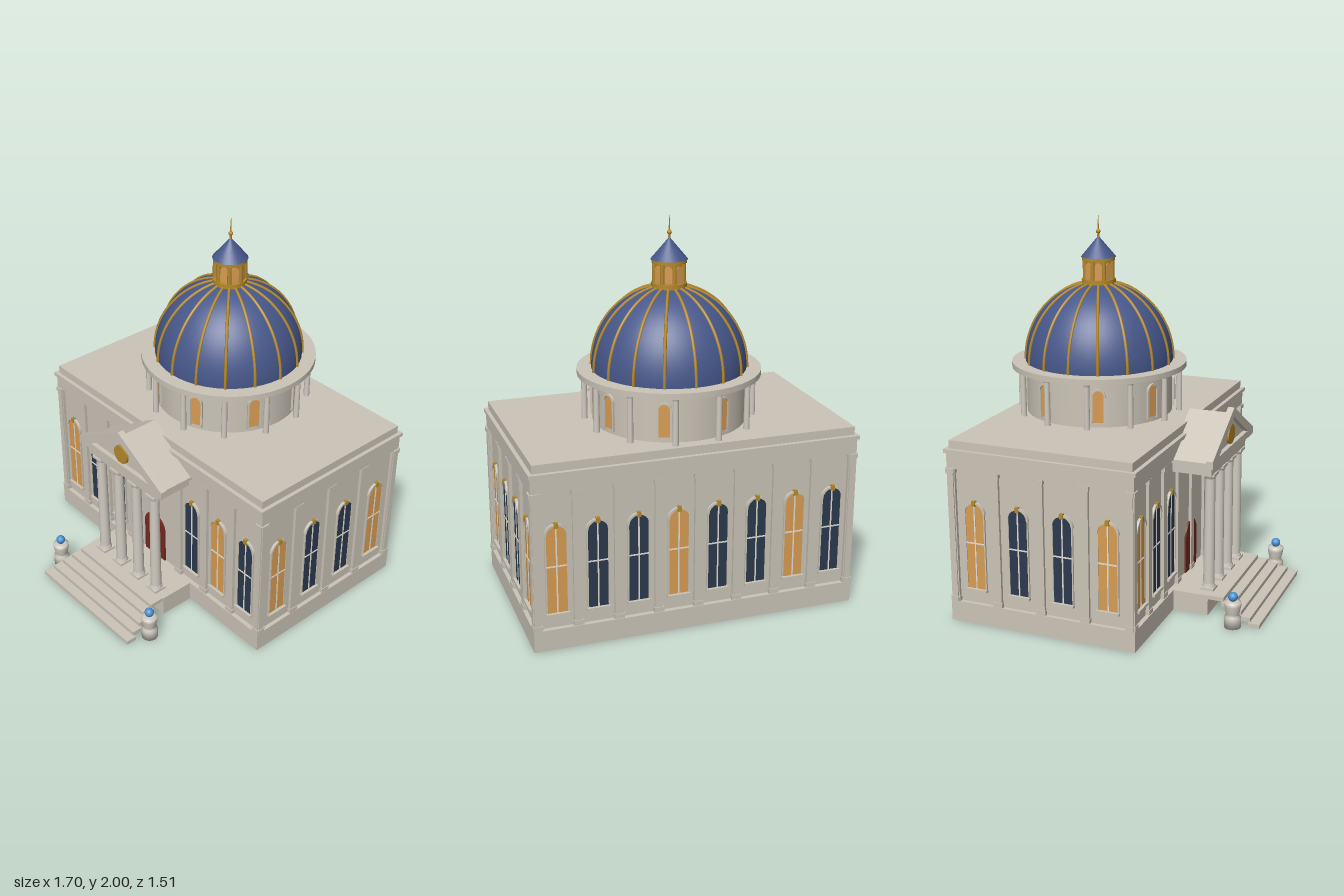
import * as THREE from 'three';

const mat = (name, color) => {
  const m = new THREE.MeshStandardMaterial({ color });
  m.name = name;
  return m;
};

export function createModel() {
  const stone = mat('stone', 0xcbc4b7);
  const column = mat('column stone', 0xd0cbc0);
  const blue = mat('dome blue', 0x46578a);
  const gold = mat('gold', 0xb58a2c);
  const lit = mat('lit window', 0xd89c52);
  const dark = mat('dark window', 0x2b3a4e);
  const red = mat('door red', 0x742a20);
  const lamp = mat('lamp blue', 0x4a90cf);
  const white = mat('glazing bar', 0xe4e0d6);

  const root = new THREE.Group();
  root.name = 'domedHall';
  const CZ = -0.237; // centre of the main block
  const DZ = -0.277; // centre of the dome

  const add = (parent, name, geo, material, x = 0, y = 0, z = 0) => {
    const m = new THREE.Mesh(geo, material);
    m.name = name;
    m.position.set(x, y, z);
    parent.add(m);
    return m;
  };
  const group = (parent, name, x = 0, y = 0, z = 0, ry = 0) => {
    const g = new THREE.Group();
    g.name = name;
    g.position.set(x, y, z);
    g.rotation.y = ry;
    parent.add(g);
    return g;
  };
  // Box given by its bottom and top heights
  const box = (parent, name, material, w, y0, y1, d, x = 0, z = 0) =>
    add(parent, name, new THREE.BoxGeometry(w, y1 - y0, d), material, x, (y0 + y1) / 2, z);
  const cyl = (parent, name, material, r0, r1, y0, y1, x = 0, z = 0, n = 16) =>
    add(parent, name, new THREE.CylinderGeometry(r1, r0, y1 - y0, n), material, x, (y0 + y1) / 2, z);
  const extrude = (shape, depth) =>
    new THREE.ExtrudeGeometry(shape, { depth, bevelEnabled: false, curveSegments: 10 });
  const polygon = pts => new THREE.Shape(pts.map(p => new THREE.Vector2(...p)));
  const lathe = (pts, n) => new THREE.LatheGeometry(pts.map(p => new THREE.Vector2(...p)), n);
  // Round-headed plate: half width r, from y0 up to the spring of the arch
  const arch = (r, y0, spring, depth) => {
    const s = new THREE.Shape();
    s.moveTo(-r, y0);
    s.lineTo(r, y0);
    s.lineTo(r, spring);
    s.absarc(0, spring, r, 0, Math.PI, false);
    s.closePath();
    return extrude(s, depth);
  };
  const archBand = (r0, r1, spring, depth) => {
    const s = new THREE.Shape();
    s.absarc(0, spring, r1, 0, Math.PI, false);
    s.absarc(0, spring, r0, Math.PI, 0, true);
    s.closePath();
    return extrude(s, depth);
  };

  // Main block
  box(root, 'plinth', stone, 1.69, 0, 0.11, 1.014, 0, CZ);
  box(root, 'walls', stone, 1.648, 0.11, 0.825, 0.966, 0, CZ);
  box(root, 'frieze', stone, 1.684, 0.822, 0.9, 1.006, 0, CZ);
  box(root, 'cornice', stone, 1.7, 0.9, 0.92, 1.03, 0, CZ);
  box(root, 'parapet', stone, 1.66, 0.92, 0.963, 0.986, 0, CZ);

  // Facades: arched windows between pilasters
  const glassGeo = arch(0.05, 0.19, 0.595, 0.006);
  const hoodGeo = archBand(0.05, 0.061, 0.595, 0.014);
  const facade = (name, bays, pitch, x, z, ry, skip) => {
    const f = group(root, name, x, 0, z, ry);
    for (let i = 0; i <= bays; i++) {
      const px = (i - bays / 2) * pitch;
      box(f, 'pilasterShaft', stone, 0.044, 0.11, 0.822, 0.032, px, 0);
      box(f, 'pilasterBase', stone, 0.052, 0.11, 0.135, 0.04, px, 0);
      box(f, 'pilasterCapital', stone, 0.054, 0.798, 0.822, 0.042, px, 0);
    }
    for (let i = 0; i < bays; i++) {
      if (skip.includes(i)) continue;
      const w = group(f, 'window', (i + 0.5 - bays / 2) * pitch);
      add(w, 'glass', glassGeo, i % 3 === 0 ? lit : dark);
      add(w, 'hood', hoodGeo, stone);
      for (const s of [-1, 1]) box(w, 'jamb', stone, 0.007, 0.19, 0.595, 0.02, s * 0.0535, 0);
      box(w, 'sill', stone, 0.12, 0.177, 0.19, 0.044);
      box(w, 'uprightBar', white, 0.007, 0.19, 0.64, 0.006, 0, 0.006);
      box(w, 'crossBar', white, 0.1, 0.431, 0.438, 0.006, 0, 0.006);
      box(w, 'keystone', gold, 0.02, 0.635, 0.662, 0.036);
    }
  };
  const HX = 0.824, HZ = 0.483;
  facade('frontFacade', 8, 0.206, 0, CZ + HZ, 0, [3, 4]);
  facade('backFacade', 8, 0.206, 0, CZ - HZ, Math.PI, []);
  facade('leftFacade', 4, 0.2415, HX, CZ, Math.PI / 2, []);
  facade('rightFacade', 4, 0.2415, -HX, CZ, -Math.PI / 2, []);
  add(root, 'door', arch(0.083, 0.11, 0.307, 0.009), red, 0, 0, CZ + HZ);

  // Portico
  const porch = group(root, 'portico');
  box(porch, 'porchFloor', stone, 0.63, 0, 0.11, 0.22, 0, 0.35);
  for (let i = 0; i < 5; i++) {
    const zFront = 0.755 - i * 0.053;
    box(porch, 'step', stone, 0.74 - i * 0.03, i * 0.022, (i + 1) * 0.022, 0.06, 0, zFront - 0.03);
  }
  box(porch, 'stepLanding', stone, 0.62, 0.088, 0.11, 0.05, 0, 0.475);
  for (const x of [-0.222, -0.075, 0.075, 0.222]) {
    const c = group(porch, 'porchColumn', x, 0, 0.433);
    box(c, 'base', column, 0.074, 0.11, 0.124, 0.074);
    cyl(c, 'baseRing', column, 0.036, 0.032, 0.124, 0.142);
    cyl(c, 'shaft', column, 0.03, 0.026, 0.142, 0.72, 0, 0, 20);
    cyl(c, 'capital', column, 0.026, 0.034, 0.72, 0.737);
    box(c, 'abacus', column, 0.07, 0.737, 0.752, 0.068);
  }
  box(porch, 'architrave', stone, 0.57, 0.75, 0.808, 0.21, 0, 0.355);
  add(porch, 'porchRoof', extrude(polygon([[-0.315, 0.808], [0.315, 0.808], [0.315, 0.825], [0, 1.01], [-0.315, 0.825]]), 0.222),
    stone, 0, 0, 0.238);
  box(porch, 'pedimentCornice', stone, 0.68, 0.805, 0.845, 0.035, 0, 0.4675);
  add(porch, 'rakingCornice', extrude(polygon([[-0.34, 0.845], [-0.24, 0.845], [0, 0.99], [0.24, 0.845], [0.34, 0.845], [0, 1.04]]), 0.035),
    stone, 0, 0, 0.45);
  const disc = add(porch, 'pedimentDisc', new THREE.CylinderGeometry(0.052, 0.052, 0.016, 24), gold, 0, 0.895, 0.466);
  disc.rotation.x = Math.PI / 2;

  // Urn lamps beside the steps
  const urnGeo = lathe([[0, 0], [0.043, 0], [0.043, 0.055], [0.03, 0.06], [0.034, 0.075], [0.043, 0.118],
    [0.043, 0.138], [0.025, 0.142], [0, 0.142]], 20);
  for (const s of [-1, 1]) {
    const u = group(root, 'urnLamp', s * 0.392, 0, 0.62);
    add(u, 'urn', urnGeo, column);
    add(u, 'lampGlobe', new THREE.SphereGeometry(0.025, 16, 12), lamp, 0, 0.164, 0);
  }

  // Drum with columns and windows
  const tower = group(root, 'domeTower', 0, 0, DZ);
  cyl(tower, 'drum', stone, 0.39, 0.39, 0.96, 1.21, 0, 0, 48);
  cyl(tower, 'drumCornice', stone, 0.467, 0.467, 1.205, 1.235, 0, 0, 48);
  for (let i = 0; i < 12; i++) {
    const a = (i + 0.5) * Math.PI / 6;
    const c = group(tower, 'drumColumn', 0.43 * Math.sin(a), 0, 0.43 * Math.cos(a), a);
    cyl(c, 'shaft', column, 0.016, 0.014, 0.963, 1.19, 0, 0, 12);
    cyl(c, 'capital', column, 0.015, 0.02, 1.19, 1.206, 0, 0, 12);
  }
  const drumGlass = arch(0.028, 0.99, 1.13, 0.009);
  const drumHood = archBand(0.028, 0.037, 1.13, 0.016);
  for (let i = 0; i < 8; i++) {
    const a = (i + 0.5) * Math.PI / 4;
    const w = group(tower, 'drumWindow', 0.385 * Math.sin(a), 0, 0.385 * Math.cos(a), a);
    add(w, 'glass', drumGlass, lit);
    add(w, 'hood', drumHood, stone);
    for (const s of [-1, 1]) box(w, 'jamb', stone, 0.009, 0.98, 1.13, 0.028, s * 0.0325, 0);
  }

  // Dome with ribs
  const R = 0.393, H = 0.42, Y = 1.235;
  const dome = add(tower, 'dome', new THREE.SphereGeometry(R, 48, 20, 0, Math.PI * 2, 0, Math.PI / 2), blue, 0, Y, 0);
  dome.scale.y = H / R;
  const ribPts = [];
  for (let k = 0; k <= 12; k++) {
    const t = (k / 12) * 1.36;
    ribPts.push(new THREE.Vector3(0, Y + H * Math.sin(t), (R + 0.002) * Math.cos(t)));
  }
  const ribGeo = new THREE.TubeGeometry(new THREE.CatmullRomCurve3(ribPts), 20, 0.008, 6);
  for (let i = 0; i < 16; i++) add(tower, 'domeRib', ribGeo, gold).rotation.y = i * Math.PI / 8;

  // Lantern, spire and finial
  const lantern = group(tower, 'lantern');
  cyl(lantern, 'lanternBase', gold, 0.09, 0.09, 1.635, 1.668, 0, 0, 24);
  cyl(lantern, 'lanternCore', gold, 0.072, 0.072, 1.66, 1.77, 0, 0, 24);
  cyl(lantern, 'lanternCornice', gold, 0.088, 0.088, 1.766, 1.785, 0, 0, 24);
  const paneGeo = arch(0.021, 1.67, 1.735, 0.006);
  for (let i = 0; i < 8; i++) {
    const a = i * Math.PI / 4, b = a + Math.PI / 8;
    cyl(lantern, 'lanternColumn', gold, 0.011, 0.011, 1.665, 1.768, 0.078 * Math.sin(a), 0.078 * Math.cos(a), 8);
    const w = group(lantern, 'lanternWindow', 0.07 * Math.sin(b), 0, 0.07 * Math.cos(b), b);
    add(w, 'pane', paneGeo, lit);
  }
  cyl(lantern, 'spireRoof', blue, 0.093, 0.004, 1.783, 1.888, 0, 0, 24);
  cyl(lantern, 'finialRod', gold, 0.007, 0.001, 1.875, 2, 0, 0, 8);
  add(lantern, 'finialBall', new THREE.SphereGeometry(0.012, 12, 8), gold, 0, 1.915, 0);

  return root;
}
